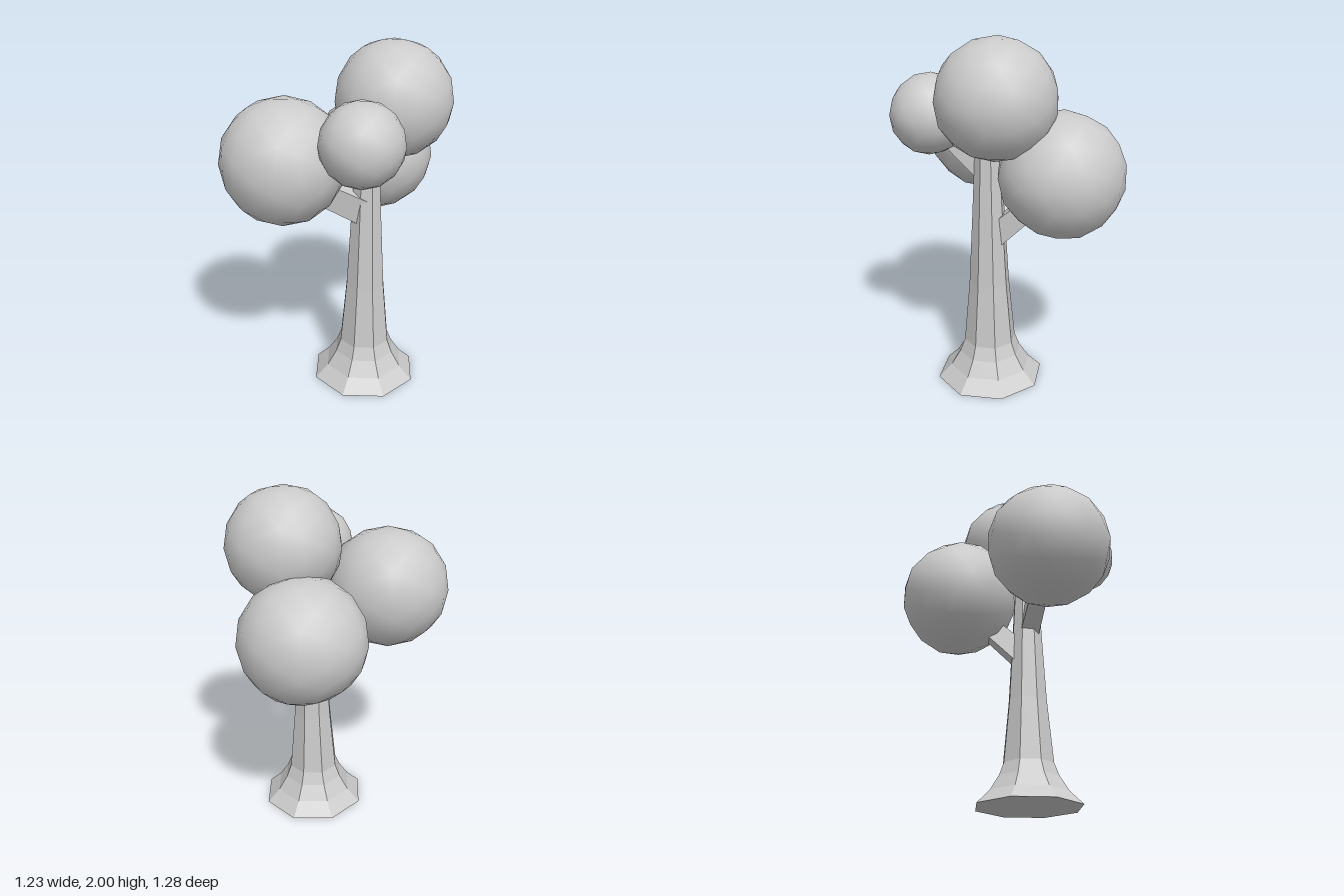
import * as THREE from 'three';
import { mergeVertices } from 'three/addons/utils/BufferGeometryUtils.js';

const smooth = new THREE.MeshStandardMaterial({ color: 0xcccccc });
const faceted = new THREE.MeshStandardMaterial({ color: 0xcccccc, flatShading: true });

// Slightly lumpy, smooth-shaded ball of leaves
function foliage(name, [x, y, z], [rx, ry, rz], seed) {
  let geo = new THREE.IcosahedronGeometry(1, 2);
  geo.deleteAttribute('uv');
  geo.deleteAttribute('normal');
  geo = mergeVertices(geo, 1e-3);
  const p = geo.attributes.position;
  const v = new THREE.Vector3();
  for (let i = 0; i < p.count; i++) {
    v.fromBufferAttribute(p, i);
    const lump = 1.005 + 0.02 * Math.sin(3 * v.x + seed) * Math.cos(3 * v.y - seed) * Math.sin(3 * v.z + 2 * seed);
    v.multiplyScalar(lump);
    p.setXYZ(i, v.x * rx, v.y * ry, v.z * rz);
  }
  geo.computeVertexNormals();
  const mesh = new THREE.Mesh(geo, smooth);
  mesh.name = name;
  mesh.position.set(x, y, z);
  return mesh;
}

// Four-sided tapering limb between two points
function branch(name, from, to, width, depth, taper) {
  const a = new THREE.Vector3(...from);
  const b = new THREE.Vector3(...to);
  const dir = b.clone().sub(a);
  const geo = new THREE.CylinderGeometry(taper * Math.SQRT1_2, Math.SQRT1_2, dir.length(), 4);
  geo.rotateY(Math.PI / 4);
  geo.scale(width, 1, depth);
  const mesh = new THREE.Mesh(geo, faceted);
  mesh.name = name;
  mesh.position.copy(a).add(b).multiplyScalar(0.5);
  mesh.quaternion.setFromUnitVectors(new THREE.Vector3(0, 1, 0), dir.normalize());
  return mesh;
}

export function createModel() {
  const tree = new THREE.Group();
  tree.name = 'tree';

  // Octagonal trunk with a flared foot; profile holds [distance to flat side, height]
  const profile = [
    [0, 0], [0.285, 0], [0.215, 0.075], [0.165, 0.16], [0.138, 0.235],
    [0.106, 0.6], [0.085, 1.0], [0.068, 1.35], [0.062, 1.48], [0, 1.48],
  ].map(([r, y]) => new THREE.Vector2(r / Math.cos(Math.PI / 8), y));
  const trunk = new THREE.Mesh(new THREE.LatheGeometry(profile, 8, Math.PI / 8), faceted);
  trunk.name = 'trunk';
  trunk.position.set(0.165, 0, 0.105);
  tree.add(trunk);

  // Limbs reaching into the leaf balls
  tree.add(
    branch('leftBranch', [0.16, 1.07, 0.12], [-0.2, 1.26, 0.17], 0.15, 0.11, 0.85),
    branch('backBranch', [0.165, 0.88, 0.08], [0.18, 1.15, -0.22], 0.1, 0.13, 0.8),
    branch('frontBranch', [0.165, 1.24, 0.12], [0.15, 1.5, 0.4], 0.065, 0.09, 0.8),
    branch('topBranch', [0.17, 1.36, 0.1], [0.28, 1.6, 0.05], 0.1, 0.1, 0.8),
  );

  // Leaf balls
  tree.add(
    foliage('topFoliage', [0.3, 1.68, 0.033], [0.32, 0.32, 0.323], 0.6),
    foliage('rightFoliage', [-0.28, 1.378, 0.193], [0.345, 0.345, 0.35], 1.9),
    foliage('backFoliage', [0.195, 1.267, -0.302], [0.35, 0.343, 0.343], 3.1),
    foliage('frontFoliage', [0.138, 1.557, 0.427], [0.222, 0.222, 0.218], 4.4),
  );
  return tree;
}
